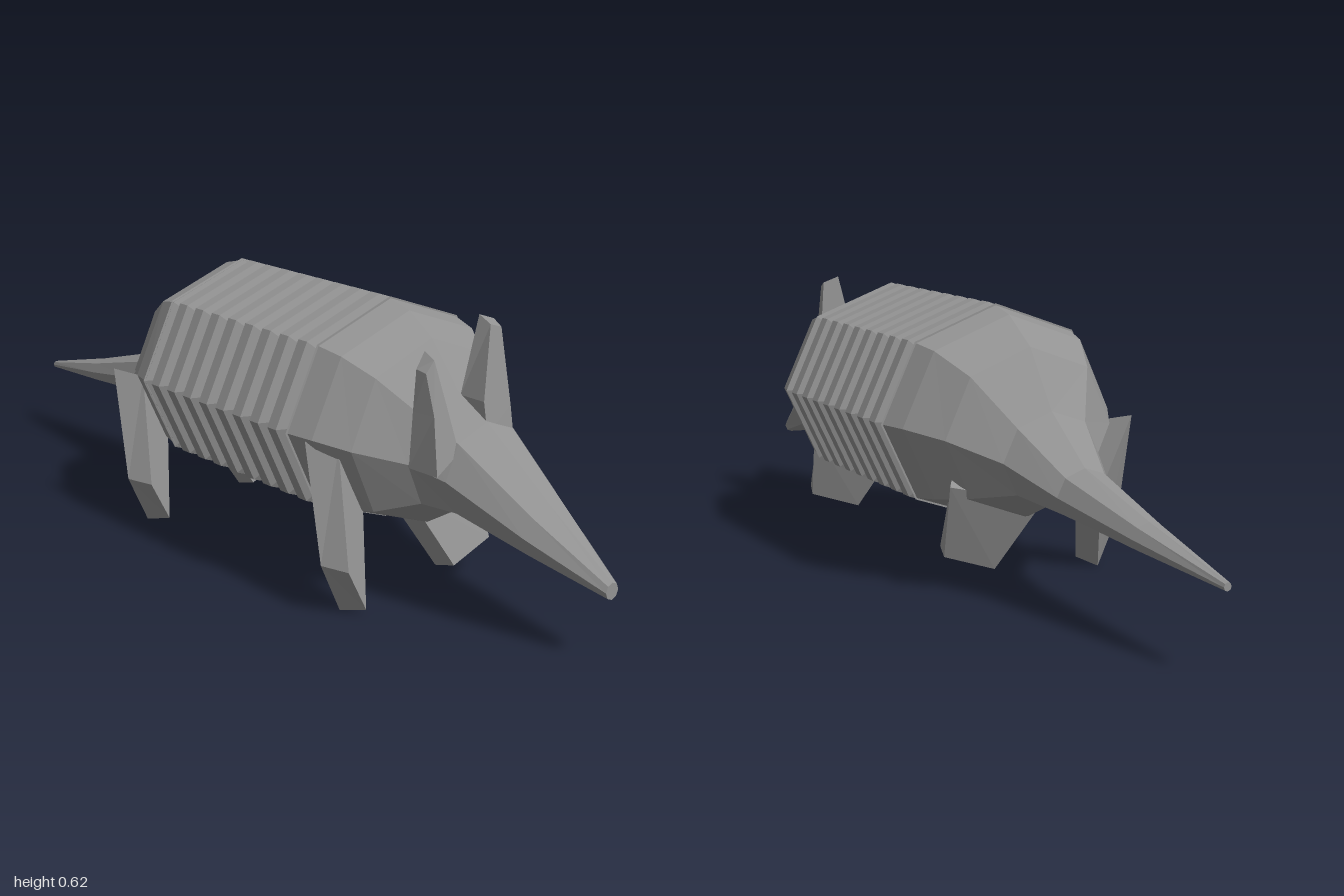
import * as THREE from 'three';

const hide = new THREE.MeshStandardMaterial({ color: 0x929292 });
hide.name = 'greyHide';

// Faceted skin over a list of rings (arrays of [x, y, z]), closed at both ends.
function loft(name, rings) {
  const tris = [];
  const n = rings[0].length;
  for (let r = 0; r < rings.length - 1; r++) {
    for (let i = 0; i < n; i++) {
      const j = (i + 1) % n;
      const a = rings[r][i], b = rings[r][j], c = rings[r + 1][j], d = rings[r + 1][i];
      tris.push([a, b, c], [a, c, d]);
    }
  }
  const first = rings[0], last = rings[rings.length - 1];
  for (let i = 1; i < n - 1; i++) {
    tris.push([first[0], first[i + 1], first[i]], [last[0], last[i], last[i + 1]]);
  }
  // Turn the faces outward using the signed volume
  const v = (p) => new THREE.Vector3(...p);
  let volume = 0;
  for (const [a, b, c] of tris) volume += v(a).dot(v(b).cross(v(c)));
  const out = tris.flatMap(([a, b, c]) => (volume < 0 ? [...a, ...c, ...b] : [...a, ...b, ...c]));
  const geo = new THREE.BufferGeometry();
  geo.setAttribute('position', new THREE.Float32BufferAttribute(out, 3));
  geo.computeVertexNormals();
  const mesh = new THREE.Mesh(geo, hide);
  mesh.name = name;
  return mesh;
}

// Eight-sided section across x, with a corner at the top.
function section([x, cy, ry, rz]) {
  return Array.from({ length: 8 }, (_, i) => {
    const a = (i * Math.PI) / 4;
    return [x, cy + ry * Math.cos(a), rz * Math.sin(a)];
  });
}

const shift = (ring, dx) => ring.map(([x, y, z]) => [x + dx, y, z]);

export function createModel() {
  const group = new THREE.Group();
  group.name = 'armadillo';

  // Sections as [x, centre height, half height, half width]
  const tail = [
    [-1, 0.18, 0.009, 0.009], [-0.75, 0.217, 0.032, 0.04],
    [-0.52, 0.257, 0.056, 0.068], [-0.39, 0.31, 0.102, 0.12],
  ];
  const rump = [
    [-0.39, 0.31, 0.102, 0.12], [-0.3, 0.352, 0.188, 0.21],
    [-0.21, 0.368, 0.232, 0.265], [-0.15, 0.37, 0.245, 0.284],
  ];
  const shoulders = [
    [0.362, 0.37, 0.245, 0.284], [0.42, 0.366, 0.233, 0.268],
    [0.49, 0.349, 0.204, 0.222], [0.57, 0.325, 0.132, 0.138],
  ];
  const head = [
    [0.57, 0.325, 0.132, 0.138], [0.655, 0.305, 0.105, 0.114],
    [0.83, 0.225, 0.058, 0.07], [1, 0.152, 0.018, 0.018],
  ];

  // Banded armour: bevelled ridges between narrow grooves
  const bands = [];
  const pitch = 0.06;
  for (let i = 0; i <= 8; i++) {
    const x = -0.136 + i * pitch;
    bands.push([x - 0.016, 0.37, 0.249, 0.288], [x - 0.005, 0.37, 0.224, 0.26]);
    bands.push([x + 0.005, 0.37, 0.224, 0.26], [x + 0.016, 0.37, 0.249, 0.288]);
  }

  group.add(loft('tail', tail.map(section)));
  group.add(loft('rump', rump.map(section)));
  group.add(loft('armourBands', bands.map(section)));
  group.add(loft('shoulders', shoulders.map(section)));
  group.add(loft('head', head.map(section)));

  // Legs: the far pair is swung under the belly
  const nearFoot = [[0.475, 0.113, 0.288], [0.53, 0.107, 0.26], [0.53, 0.012, 0.21], [0.475, 0, 0.235]];
  const nearTop = [[0.4, 0.365, 0.27], [0.455, 0.35, 0.225], [0.46, 0.215, 0.16], [0.4, 0.2, 0.19]];
  const farFoot = [[0.475, 0.075, -0.172], [0.53, 0.085, -0.152], [0.53, 0.045, -0.045], [0.475, 0.03, -0.043]];
  const farTop = [[0.4, 0.25, -0.198], [0.455, 0.27, -0.16], [0.46, 0.21, 0.035], [0.4, 0.19, 0.035]];
  for (const [end, dx] of [['front', 0], ['rear', -0.7]]) {
    group.add(loft(end + 'LegNear', [shift(nearFoot, dx), shift(nearTop, dx)]));
    group.add(loft(end + 'LegFar', [shift(farFoot, dx), shift(farTop, dx)]));
  }

  // Ears: tapered blades, the far one broader and taller
  group.add(loft('earNear', [
    [[0.575, 0.32, 0.14], [0.655, 0.32, 0.138], [0.655, 0.36, 0.078], [0.575, 0.36, 0.085]],
    [[0.58, 0.44, 0.137], [0.632, 0.44, 0.128], [0.632, 0.46, 0.095], [0.58, 0.46, 0.1]],
    [[0.585, 0.53, 0.135], [0.61, 0.525, 0.132], [0.612, 0.55, 0.112], [0.588, 0.565, 0.116]],
  ]));
  group.add(loft('earFar', [
    [[0.575, 0.38, 0], [0.658, 0.38, 0], [0.658, 0.35, -0.08], [0.575, 0.36, -0.1]],
    [[0.578, 0.45, 0], [0.645, 0.45, 0], [0.645, 0.43, -0.079], [0.578, 0.43, -0.097]],
    [[0.585, 0.616, -0.04], [0.615, 0.6, -0.043], [0.615, 0.59, -0.075], [0.588, 0.602, -0.08]],
  ]));

  return group;
}
